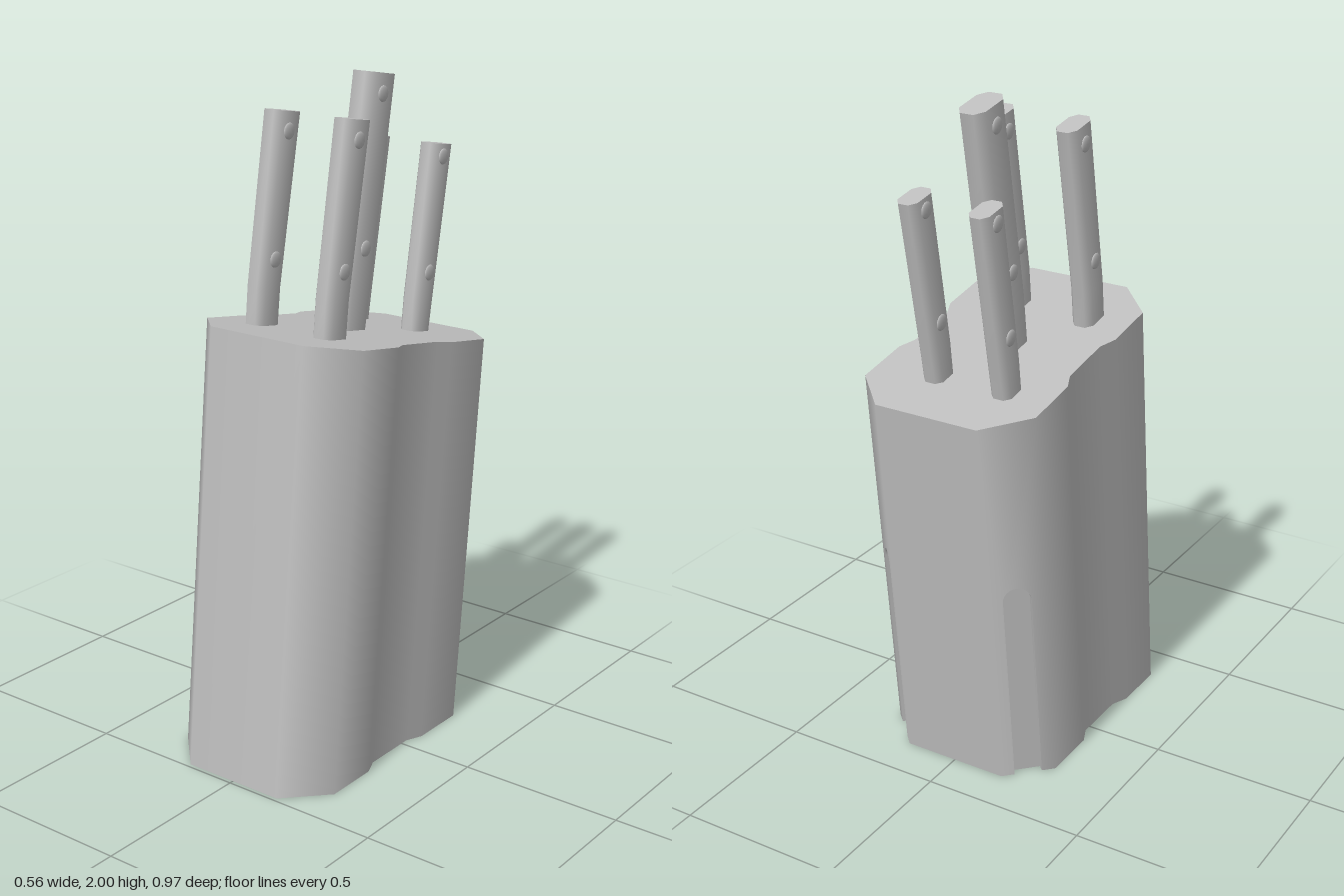
import * as THREE from 'three';
import { mergeGeometries, toCreasedNormals } from 'three/addons/utils/BufferGeometryUtils.js';

const grey = new THREE.MeshStandardMaterial({ color: 0xbfbfbf });
grey.name = 'grey';

const LEAN = 0.101;                 // backward lean of the block per unit of height
const TOP = 1.264, TILT = 0.1716;   // sloping top plane: y = TOP + TILT * z
const topY = z0 => (TOP + TILT * z0) / (1 + TILT * LEAN);

// Footprint of the block (x, z): one half front to back, then its mirror
const half = [[0.165, 0.487], [0.282, 0.367], [0.282, 0.199], [0.26, 0.148],
  [0.26, -0.025], [0.282, -0.076], [0.282, -0.249], [0.165, -0.368]];
const outline = [...half, ...half.map(([x, z]) => [-x, z]).reverse()];
const count = outline.length;
const slotEdges = [6, 8];           // the two rear chamfers carry a slot
const SLOT_R = 0.042, SLOT_Y = 0.618, SLOT_DEPTH = 0.022;

const edges = outline.map((p, i) => {
  const q = outline[(i + 1) % count];
  const length = Math.hypot(q[0] - p[0], q[1] - p[1]);
  const dx = (q[0] - p[0]) / length, dz = (q[1] - p[1]) / length;
  return { p, q, length, dx, dz, nx: -dz, nz: dx };
});

// Point on a side: u along the edge, y up, d inwards
const at = (e, u, y, d = 0) =>
  [e.p[0] + e.dx * u - e.nx * d, y, e.p[1] + e.dz * u - e.nz * d - LEAN * y];

// Smooth normal at a corner of the footprint
function cornerNormal(i) {
  const a = edges[(i + count - 1) % count], b = edges[i % count];
  const nx = a.nx * a.length + b.nx * b.length, nz = a.nz * a.length + b.nz * b.length;
  return new THREE.Vector3(nx, LEAN * nz, nz).normalize();
}

// Slot outline on a side: up, over the round end and down
function slotPoints(e) {
  const c = e.length / 2, pts = [[c - SLOT_R, 0]];
  for (let i = 0; i <= 12; i++) {
    const t = Math.PI * (1 - i / 12);
    pts.push([c + SLOT_R * Math.cos(t), SLOT_Y + SLOT_R * Math.sin(t)]);
  }
  pts.push([c + SLOT_R, 0]);
  return pts;
}

const shapeOf = pts => new THREE.Shape(pts.map(([x, y]) => new THREE.Vector2(x, y)));

function mapPanel(geo, e, depth) {
  const pos = geo.attributes.position;
  for (let i = 0; i < pos.count; i++) pos.setXYZ(i, ...at(e, pos.getX(i), pos.getY(i), depth));
  return geo;
}

function sidePanel(e, i) {
  const slot = slotEdges.includes(i) ? slotPoints(e) : [];
  const geo = new THREE.ShapeGeometry(shapeOf(
    [[0, 0], ...slot, [e.length, 0], [e.length, topY(e.q[1])], [0, topY(e.p[1])]]));
  const n0 = cornerNormal(i), n1 = cornerNormal(i + 1), n = new THREE.Vector3();
  const { position, normal } = geo.attributes;
  for (let k = 0; k < position.count; k++) {
    n.lerpVectors(n0, n1, position.getX(k) / e.length).normalize();
    normal.setXYZ(k, n.x, n.y, n.z);
  }
  return mapPanel(geo, e, 0);
}

// Recessed floor and walls of a slot
function slotGeometry(e) {
  const pts = slotPoints(e);
  const floor = mapPanel(new THREE.ShapeGeometry(shapeOf(pts)), e, SLOT_DEPTH).toNonIndexed();
  floor.deleteAttribute('uv');
  floor.computeVertexNormals();
  const v = [];
  for (let i = 0; i < pts.length - 1; i++) {
    const o0 = at(e, ...pts[i]), o1 = at(e, ...pts[i + 1]);
    const i0 = at(e, ...pts[i], SLOT_DEPTH), i1 = at(e, ...pts[i + 1], SLOT_DEPTH);
    v.push(...i0, ...i1, ...o0, ...o0, ...i1, ...o1);
  }
  const walls = new THREE.BufferGeometry();
  walls.setAttribute('position', new THREE.Float32BufferAttribute(v, 3));
  walls.computeVertexNormals();
  return mergeGeometries([floor, toCreasedNormals(walls, 0.6)]);
}

function topGeometry() {
  const geo = new THREE.ShapeGeometry(shapeOf(outline.map(([x, z]) => [x, -z])));
  geo.rotateX(-Math.PI / 2);
  const pos = geo.attributes.position;
  for (let i = 0; i < pos.count; i++) {
    const z = pos.getZ(i), y = topY(z);
    pos.setXYZ(i, pos.getX(i), y, z - LEAN * y);
  }
  geo.computeVertexNormals();
  return geo;
}

function bottomGeometry() {
  const pts = edges.flatMap((e, i) => {
    if (!slotEdges.includes(i)) return [e.p];
    const a = e.length / 2 - SLOT_R, b = e.length / 2 + SLOT_R;
    const notch = [[a, 0], [a, SLOT_DEPTH], [b, SLOT_DEPTH], [b, 0]];
    return [e.p, ...notch.map(([u, d]) => at(e, u, 0, d)).map(p => [p[0], p[2]])];
  });
  return new THREE.ShapeGeometry(shapeOf(pts)).rotateX(Math.PI / 2);
}

// Knife handle: eight-sided section lofted through rings [zFront, yFront, zBack, yBack]
function handleGeometry(width, rings) {
  const section = [[0.25, 0], [0.5, 0.2], [0.5, 0.8], [0.25, 1],
    [-0.25, 1], [-0.5, 0.8], [-0.5, 0.2], [-0.25, 0]];
  const v = [], index = [], n = section.length;
  for (const [zf, yf, zb, yb] of rings)
    for (const [x, t] of section) v.push(x * width, yf + (yb - yf) * t, zf + (zb - zf) * t);
  for (let r = 0; r < rings.length - 1; r++)
    for (let i = 0; i < n; i++) {
      const a = r * n + i, b = r * n + (i + 1) % n;
      index.push(a, b, b + n, a, b + n, a + n);
    }
  const last = (rings.length - 1) * n;
  for (let i = 1; i < n - 1; i++) index.push(last, last + i, last + i + 1);
  const geo = new THREE.BufferGeometry();
  geo.setAttribute('position', new THREE.Float32BufferAttribute(v, 3));
  geo.setIndex(index);
  return toCreasedNormals(geo, 1);
}

const knives = [
  { name: 'largeKnife', xs: [-0.008], width: 0.084, rivets: [1.93, 1.49],
    rings: [[-0.005, 1.22, -0.122, 1.2], [-0.023, 1.41, -0.165, 1.385], [-0.13, 2, -0.275, 1.975]] },
  { name: 'frontKnife', xs: [-0.15, 0.098], width: 0.068, rivets: [1.84, 1.48],
    rings: [[0.203, 1.26, 0.1, 1.24], [0.188, 1.41, 0.082, 1.39], [0.103, 1.905, -0.016, 1.885]] },
  { name: 'rearKnife', xs: [-0.139, 0.085], width: 0.064, rivets: [1.73, 1.39],
    rings: [[-0.245, 1.19, -0.325, 1.17], [-0.258, 1.32, -0.352, 1.3], [-0.335, 1.775, -0.443, 1.757]] },
];

export function createModel() {
  const model = new THREE.Group();
  model.name = 'knifeBlock';
  const add = (parent, name, geo) => {
    const mesh = new THREE.Mesh(geo, grey);
    mesh.name = name;
    parent.add(mesh);
    return mesh;
  };

  // Block
  const block = new THREE.Group();
  block.name = 'block';
  model.add(block);
  add(block, 'blockSides', mergeGeometries(edges.map(sidePanel)));
  add(block, 'blockTop', topGeometry());
  add(block, 'blockBottom', bottomGeometry());
  for (const i of slotEdges) add(block, 'rearSlot', slotGeometry(edges[i]));

  // Knives with rivets on both sides
  const rivetGeo = new THREE.SphereGeometry(0.024, 16, 8).scale(0.25, 1, 1);
  for (const { name, xs, width, rivets, rings } of knives) {
    const handleGeo = handleGeometry(width, rings);
    const [, bend, top] = rings;
    for (const x of xs) {
      const knife = new THREE.Group();
      knife.name = name;
      knife.position.x = x;
      model.add(knife);
      add(knife, 'handle', handleGeo);
      for (const y of rivets) {
        const t = (y - bend[1]) / (top[1] - bend[1]);
        const z = THREE.MathUtils.lerp((bend[0] + bend[2]) / 2, (top[0] + top[2]) / 2, t);
        for (const s of [-1, 1]) add(knife, 'rivet', rivetGeo).position.set(s * width / 2, y, z);
      }
    }
  }
  return model;
}
